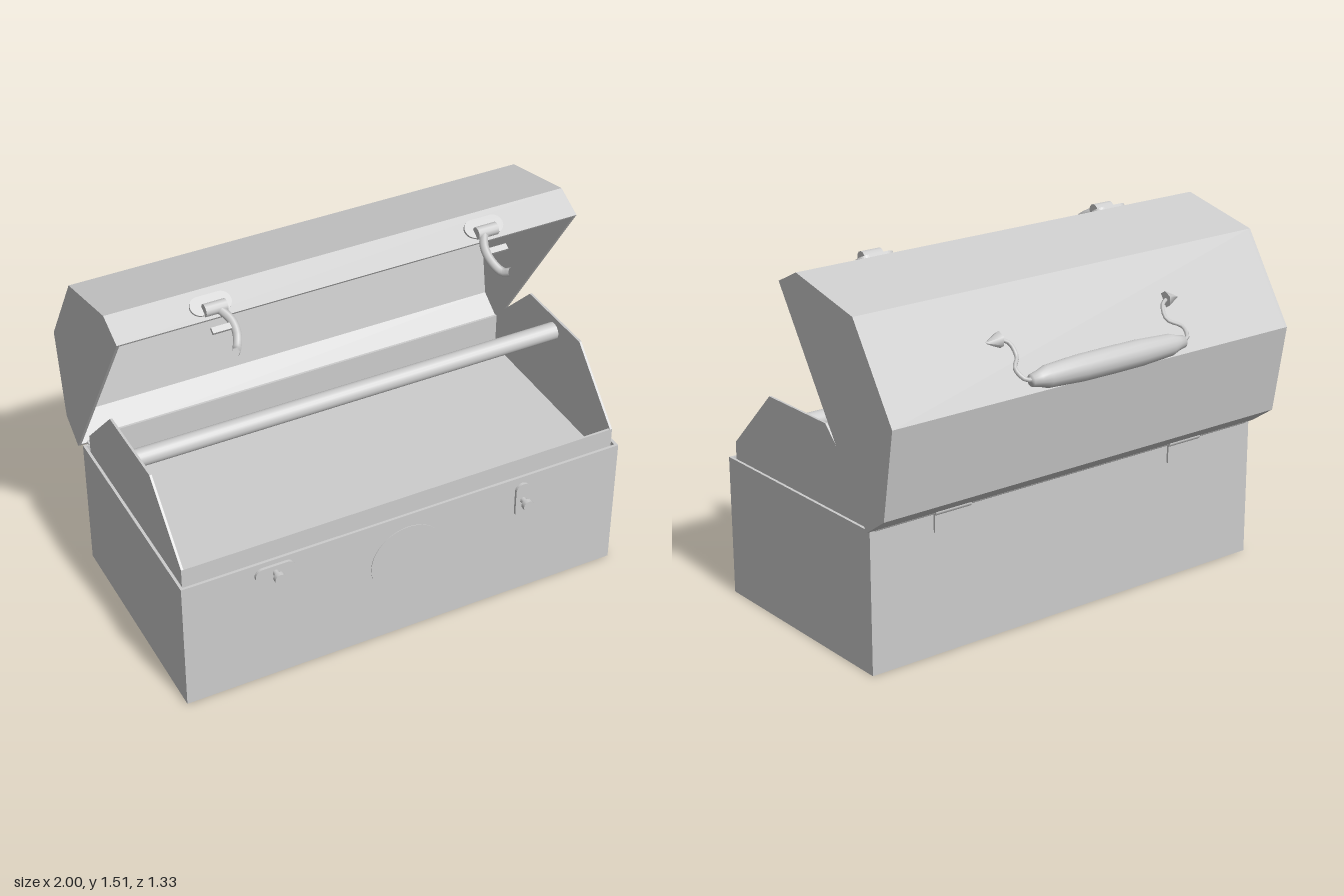
import * as THREE from 'three';

const steel = new THREE.MeshStandardMaterial({ color: 0xcccccc });
steel.name = 'bare steel';

function add(parent, name, geometry, x = 0, y = 0, z = 0) {
  const mesh = new THREE.Mesh(geometry, steel);
  mesh.name = name;
  mesh.position.set(x, y, z);
  parent.add(mesh);
  return mesh;
}

const box = (w, h, d) => new THREE.BoxGeometry(w, h, d);

// Extrudes an outline, centred on its depth
function slab(points, depth) {
  const shape = new THREE.Shape(points.map(p => new THREE.Vector2(p[0], p[1])));
  const g = new THREE.ExtrudeGeometry(shape, { depth, bevelEnabled: false });
  return g.translate(0, 0, -depth / 2);
}

// Plate with rounded ends, lying in the xy plane
function pill(length, width, depth) {
  const r = width / 2, k = length / 2 - r;
  const s = new THREE.Shape();
  s.absarc(k, 0, r, -Math.PI / 2, Math.PI / 2, false);
  s.absarc(-k, 0, r, Math.PI / 2, Math.PI * 1.5, false);
  return new THREE.ExtrudeGeometry(s, { depth, bevelEnabled: false, curveSegments: 8 });
}

function tube(points, radius, segments = 16) {
  const curve = new THREE.CatmullRomCurve3(points.map(p => new THREE.Vector3(...p)));
  return new THREE.TubeGeometry(curve, segments, radius, 6, false);
}

function makeBase() {
  const base = new THREE.Group();
  base.name = 'base';
  add(base, 'floor', box(1.96, 0.012, 1.0), 0, 0.006, 0.11);
  add(base, 'frontPanel', box(1.96, 0.6, 0.012), 0, 0.3, 0.604);
  add(base, 'backPanel', box(1.96, 0.6, 0.012), 0, 0.3, -0.384);
  for (const s of [-1, 1]) add(base, 'sidePanel', box(0.012, 0.6, 1.0), s * 0.976, 0.3, 0.11);

  // Round plate on the front
  add(base, 'frontDisc', new THREE.CylinderGeometry(0.165, 0.165, 0.004, 48).rotateX(Math.PI / 2), 0, 0.375, 0.611);

  // Turn catches: one turned across, one upright
  for (const [x, y, dy, turn] of [[-0.59, 0.545, 0, 0], [0.525, 0.485, 0.005, Math.PI / 2]]) {
    add(base, 'catchPlate', pill(0.17, 0.065, 0.012), x, y, 0.61).rotation.z = turn;
    add(base, 'catchStem', new THREE.CylinderGeometry(0.013, 0.013, 0.04, 10).rotateX(Math.PI / 2), x, y + dy, 0.637);
    add(base, 'catchKnob', new THREE.CylinderGeometry(0.024, 0.024, 0.02, 12).rotateX(Math.PI / 2), x, y + dy, 0.66);
  }

  // Hinges along the back edge
  add(base, 'hingeRod', new THREE.CylinderGeometry(0.01, 0.01, 1.92, 10).rotateZ(Math.PI / 2), 0, 0.605, -0.39);
  for (const s of [-1, 1]) {
    add(base, 'hingeLeaf', box(0.17, 0.08, 0.01), s * 0.6, 0.56, -0.394);
    add(base, 'hingeKnuckle', new THREE.CylinderGeometry(0.016, 0.016, 0.17, 10).rotateZ(Math.PI / 2), s * 0.6, 0.605, -0.392);
  }
  return base;
}

function makeTray() {
  const tray = new THREE.Group();
  tray.name = 'tray';
  // End plates with clipped upper corners
  const outline = [[0.58, 0.5], [0.58, 0.67], [0.31, 0.94], [-0.085, 0.94], [-0.35, 0.67], [-0.35, 0.5]];
  for (const s of [-1, 1]) add(tray, 'trayEnd', slab(outline, 0.01).rotateY(-Math.PI / 2), s * 0.96, 0, 0);
  add(tray, 'trayFloor', box(1.92, 0.01, 0.93), 0, 0.505, 0.115);
  add(tray, 'trayFront', box(1.92, 0.17, 0.01), 0, 0.585, 0.575);
  add(tray, 'trayBack', box(1.92, 0.17, 0.01), 0, 0.585, -0.345);
  add(tray, 'carryBar', new THREE.CylinderGeometry(0.038, 0.038, 1.92, 20).rotateZ(Math.PI / 2), 0, 0.875, 0.115);
  return tray;
}

// Lid space: x runs from hinge to front lip, y points out of the lid, z runs across it
function makeLid() {
  const lid = new THREE.Group();
  lid.name = 'lid';
  const outer = [[0, 0], [0.005, 0.14], [0.29, 0.4], [0.73, 0.4], [1.0, 0.135], [1.015, 0]];
  const inner = [[0.012, 0], [0.017, 0.135], [0.295, 0.388], [0.725, 0.388], [0.988, 0.13], [1.003, 0]];
  add(lid, 'lidShell', slab([...outer, ...inner.reverse()], 1.99));
  for (const s of [-1, 1]) add(lid, 'lidEnd', slab(outer, 0.012), 0, 0, s * 0.994);

  // Grip with tapering ends
  const profile = [[0, -0.39], [0.025, -0.385], [0.032, -0.35], [0.045, -0.31], [0.054, -0.15], [0.055, 0],
    [0.054, 0.15], [0.045, 0.31], [0.032, 0.35], [0.025, 0.385], [0, 0.39]];
  const grip = new THREE.LatheGeometry(profile.map(p => new THREE.Vector2(...p)), 16).rotateX(Math.PI / 2);
  add(lid, 'handleGrip', grip, 0.33, 0.467, 0);

  for (const s of [-1, 1]) {
    // Handle wires and their brackets
    add(lid, 'handleWire', tube([[0.33, 0.467, s * 0.36], [0.34, 0.467, s * 0.41], [0.39, 0.45, s * 0.425],
      [0.44, 0.425, s * 0.38], [0.5, 0.42, s * 0.39], [0.525, 0.41, s * 0.44]], 0.009));
    add(lid, 'handleBracket', new THREE.ConeGeometry(0.035, 0.07, 6).rotateX(s * Math.PI / 2), 0.52, 0.41, s * 0.455);

    // Latches on the front lip with curved hooks
    const plate = pill(0.17, 0.08, 0.012).rotateY(Math.PI / 2);
    add(lid, 'latchPlate', plate, 1.008, 0.06, s * 0.595);
    add(lid, 'latchPivot', new THREE.CylinderGeometry(0.026, 0.026, 0.09, 12).rotateX(Math.PI / 2), 1.03, 0.035, s * 0.59);
    add(lid, 'latchHook', tube([[1.03, 0.035, s * 0.58], [1.035, -0.03, s * 0.55], [1.035, -0.09, s * 0.55],
      [1.035, -0.15, s * 0.575], [1.06, -0.17, s * 0.595]], 0.018));
    add(lid, 'latchTab', box(0.015, 0.025, 0.1), 1.035, -0.055, s * 0.59);
  }

  // Swing the lid open about the back edge
  const along = new THREE.Vector3(0, 0.842, 0.54);
  const out = new THREE.Vector3(0, 0.54, -0.842);
  const across = new THREE.Vector3(-1, 0, 0);
  lid.applyMatrix4(new THREE.Matrix4().makeBasis(along, out, across).setPosition(0, 0.6, -0.395));
  return lid;
}

export function createModel() {
  const model = new THREE.Group();
  model.name = 'toolbox';
  model.add(makeBase(), makeTray(), makeLid());
  return model;
}
